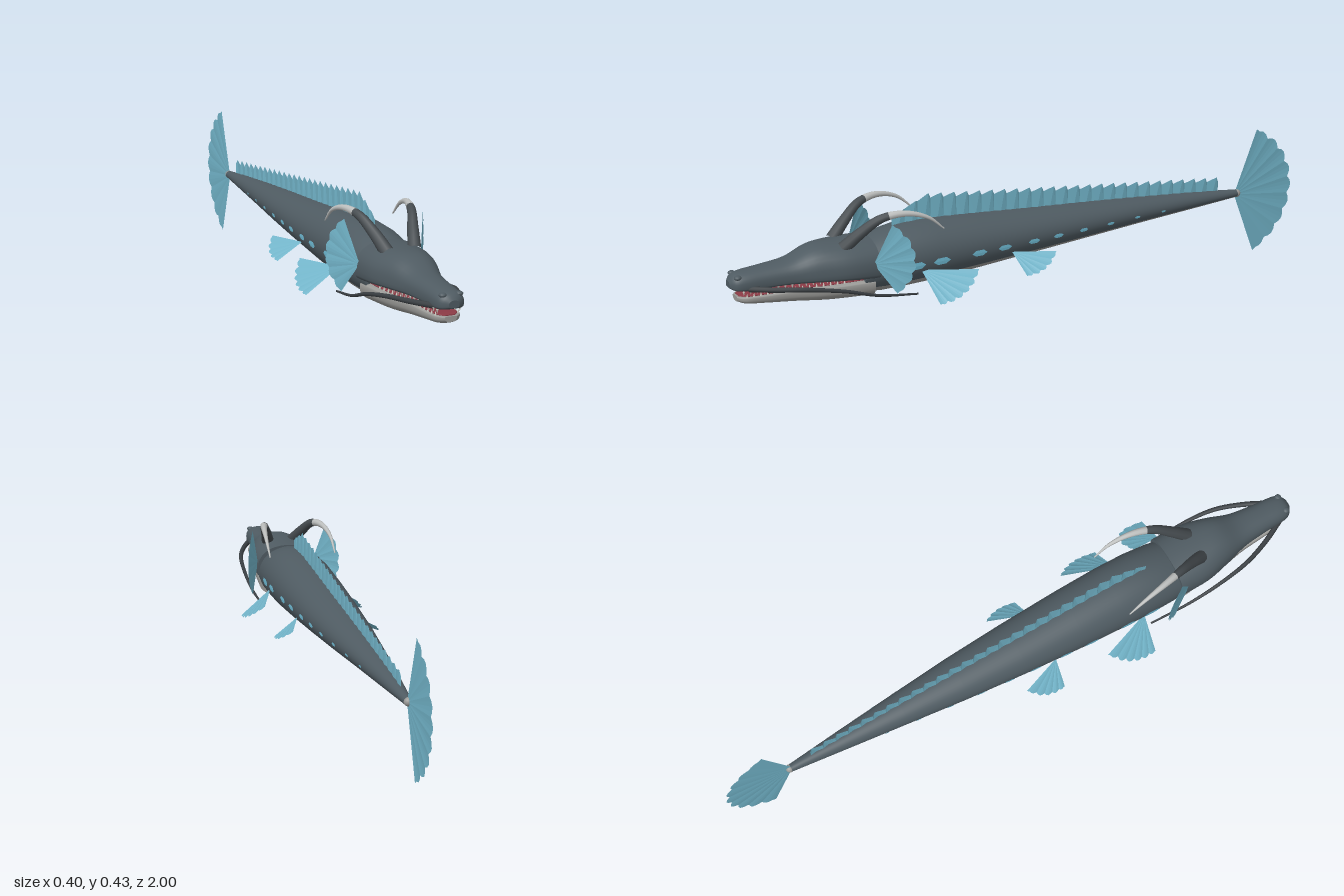
import * as THREE from 'three';

const mat = (name, color, extra = {}) => Object.assign(new THREE.MeshStandardMaterial({ color, ...extra }), { name });
const thin = { side: THREE.DoubleSide, flatShading: true };

// Body profile: z, half width, top, bottom (tail to neck)
const BODY = [
  [-0.785, 0.012, 0.228, 0.204], [-0.6, 0.032, 0.25, 0.195], [-0.4, 0.053, 0.27, 0.186],
  [-0.2, 0.073, 0.288, 0.175], [0, 0.088, 0.304, 0.163], [0.2, 0.099, 0.322, 0.15],
  [0.35, 0.104, 0.334, 0.141], [0.45, 0.104, 0.333, 0.139], [0.53, 0.1, 0.32, 0.14], [0.6, 0.09, 0.295, 0.148],
];
function bodyAt(z) {
  let i = 0;
  while (i < BODY.length - 2 && z > BODY[i + 1][0]) i++;
  const t = (z - BODY[i][0]) / (BODY[i + 1][0] - BODY[i][0]);
  return BODY[i].map((v, k) => THREE.MathUtils.lerp(v, BODY[i + 1][k], t));
}
function bodyPoint(z, angle, lift = 0) {
  const [, w, top, bottom] = bodyAt(z);
  return new THREE.Vector3(Math.cos(angle) * (w + lift),
    (top + bottom) / 2 + Math.sin(angle) * ((top - bottom) / 2 + lift), z);
}

// Closed rings in ascending z joined into a capped skin; pick(j) gives the material index
function loft(rings, pick = () => 0) {
  const n = rings[0].length, pos = [], lists = [[], []];
  rings.forEach(r => r.forEach(p => pos.push(p.x, p.y, p.z)));
  for (let i = 0; i < rings.length - 1; i++) for (let j = 0; j < n; j++) {
    const a = i * n + j, b = i * n + (j + 1) % n;
    lists[pick(j)].push(a, b, a + n, b, b + n, a + n);
  }
  [rings[0], rings[rings.length - 1]].forEach((r, end) => {
    const s = pos.length / 3, c = new THREE.Vector3();
    r.forEach(p => { pos.push(p.x, p.y, p.z); c.addScaledVector(p, 1 / n); });
    pos.push(c.x, c.y, c.z);
    for (let j = 0; j < n; j++) {
      const k = (j + 1) % n;
      lists[0].push(s + n, s + (end ? j : k), s + (end ? k : j));
    }
  });
  const g = new THREE.BufferGeometry();
  g.setAttribute('position', new THREE.Float32BufferAttribute(pos, 3));
  g.setIndex([...lists[0], ...lists[1]]);
  g.addGroup(0, lists[0].length, 0);
  g.addGroup(lists[0].length, lists[1].length, 1);
  g.computeVertexNormals();
  return g;
}

// Rounded section loft; rows are z, half width, top, widest height, bottom
function sectionLoft(rows, topPower, bottomPower, steps = 28) {
  const curves = [1, 2, 3, 4].map(k => new THREE.SplineCurve(rows.map(r => new THREE.Vector2(r[0], r[k]))));
  const rings = [];
  for (let i = 0; i <= steps; i++) {
    const q = curves.map(c => c.getPoint(i / steps)), [w, top, mid, bottom] = q.map(p => p.y), ring = [];
    for (let j = 0; j < 32; j++) {
      const a = j / 32 * Math.PI * 2, c = Math.cos(a), s = Math.sin(a), e = 2 / (s >= 0 ? topPower : bottomPower);
      ring.push(new THREE.Vector3(w * Math.sign(c) * Math.abs(c) ** e,
        mid + (s >= 0 ? top - mid : bottom - mid) * Math.abs(s) ** e, q[0].x));
    }
    rings.push(ring);
  }
  return loft(rings);
}

// Pleated fan with a scalloped rim, swept from direction a to direction b
function fan(hub, a, b, lobes) {
  const A = new THREE.Vector3(...a), B = new THREE.Vector3(...b), H = new THREE.Vector3(...hub);
  const axis = A.clone().cross(B).normalize(), angle = A.angleTo(B), pos = [], n = lobes * 4;
  const rim = i => {
    const t = i / n, lobe = Math.sin((i % 4) / 4 * Math.PI);
    const r = THREE.MathUtils.lerp(A.length(), B.length(), t) * (i === 0 || i === n ? 1 : 0.94 + 0.06 * lobe);
    return A.clone().normalize().applyAxisAngle(axis, angle * t).multiplyScalar(r)
      .addScaledVector(axis, 0.0015 * (lobe - 0.5)).add(H);
  };
  for (let i = 0; i < n; i++) pos.push(...H.toArray(), ...rim(i).toArray(), ...rim(i + 1).toArray());
  return soup(pos);
}
function soup(pos) {
  const g = new THREE.BufferGeometry();
  g.setAttribute('position', new THREE.Float32BufferAttribute(pos, 3));
  g.computeVertexNormals();
  return g;
}

// Tube that narrows from r0 to r1; the second material starts at fraction split
function taperTube(points, r0, r1, split = 1) {
  const curve = new THREE.CatmullRomCurve3(points.map(p => new THREE.Vector3(...p)));
  const n = 28, m = 10, g = new THREE.TubeGeometry(curve, n, 1, m), p = g.attributes.position, v = new THREE.Vector3();
  for (let i = 0; i <= n; i++) {
    const c = curve.getPointAt(i / n), r = THREE.MathUtils.lerp(r0, r1, i / n);
    for (let j = 0; j <= m; j++) {
      v.fromBufferAttribute(p, i * (m + 1) + j).sub(c).multiplyScalar(r).add(c);
      p.setXYZ(i * (m + 1) + j, v.x, v.y, v.z);
    }
  }
  const cut = Math.round(n * split) * m * 6;
  g.addGroup(0, cut, 0);
  g.addGroup(cut, n * m * 6 - cut, 1);
  return g;
}

export function createModel() {
  const model = new THREE.Group();
  model.name = 'seaSerpent';
  const skin = mat('slateSkin', 0x4f5b62), belly = mat('greyBelly', 0x9a9a97), fin = mat('blueFin', 0x72b4c9, thin);
  const spot = mat('paleBlueSpot', 0x72c0da, { side: THREE.DoubleSide }), hornTip = mat('greyHornTip', 0xbcbebd);
  const hornBase = mat('darkHorn', 0x464c50), whisker = mat('darkWhisker', 0x3a3f43);
  const mouth = mat('redMouth', 0x8c3b46), tooth = mat('ivoryTooth', 0xd0cec4);
  const add = (name, geometry, material) => {
    const m = new THREE.Mesh(geometry, material);
    m.name = name;
    model.add(m);
    return m;
  };

  // Long tapering body with a grey underside
  const N = 48, under = j => Math.sin((j + 0.5) / N * Math.PI * 2) < -0.6 ? 1 : 0;
  add('body', loft(BODY.map(r => Array.from({ length: N }, (_, j) => bodyPoint(r[0], j / N * Math.PI * 2))), under), [skin, belly]);
  add('tailKnob', new THREE.SphereGeometry(0.013, 16, 12), belly).position.set(0, 0.216, -0.784);

  // Head with long snout, then lower jaw and mouth lining
  add('head', sectionLoft([
    [0.555, 0.101, 0.317, 0.24, 0.2], [0.65, 0.1, 0.32, 0.243, 0.212], [0.735, 0.08, 0.318, 0.243, 0.218],
    [0.81, 0.058, 0.292, 0.243, 0.221], [0.89, 0.048, 0.284, 0.243, 0.223], [0.955, 0.044, 0.279, 0.243, 0.224],
    [0.985, 0.036, 0.272, 0.243, 0.228], [1, 0.016, 0.256, 0.243, 0.235]], 2.3, 4), skin);
  const jaw = [[0.57, 0.092, 0.205, 0.188, 0.14], [0.7, 0.076, 0.205, 0.19, 0.148], [0.8, 0.055, 0.206, 0.193, 0.16],
    [0.9, 0.045, 0.206, 0.196, 0.173], [0.955, 0.039, 0.207, 0.199, 0.181], [0.98, 0.018, 0.206, 0.201, 0.19]];
  add('lowerJaw', sectionLoft(jaw, 5, 2.4), belly);
  add('mouthFloor', sectionLoft(jaw.map(([z, w, t]) => [z - 0.006, w * 0.84, t + 0.003, t + 0.001, t - 0.002]), 4, 4), mouth);

  // Saw-edged fin along the back
  const strip = [], teeth = 27;
  const edge = i => {
    const t = i / (2 * teeth), z = THREE.MathUtils.lerp(0.47, -0.71, t), base = bodyAt(z)[2] - 0.006;
    const height = THREE.MathUtils.lerp(0.426, 0.282, t) - base - (i % 2 ? 0 : 0.014);
    const rise = Math.min(1, 0.35 + i * 0.13), x = i % 2 ? 0.0015 : -0.0015;
    return [[x, base, z], [x, base + height * rise, z - (i % 2 ? 0.014 : 0)]];
  };
  for (let i = 0; i < 2 * teeth; i++) {
    const [a, b] = edge(i), [c, d] = edge(i + 1);
    strip.push(...a, ...c, ...b, ...b, ...c, ...d);
  }
  add('backFin', soup(strip), fin);
  add('tailFin', fan([0, 0.2125, -0.774], [0, 0.2125, -0.082], [0, -0.2125, -0.082], 9), fin);

  for (const s of [1, -1]) {
    const side = s > 0 ? 'left' : 'right', flip = ([x, y, z]) => [s * x, y, z];
    const sideFan = (name, hub, a, b, k) => add(side + name, fan(flip(hub), flip(a), flip(b), k), fin);

    // Cheek fan and two pairs of swimming fins
    sideFan('CheekFan', [0.096, 0.258, 0.577], [0.028, 0.125, -0.05], [0.032, -0.094, -0.06], 6);
    sideFan('FrontFin', [0.092, 0.21, 0.42], [0.06, -0.01, -0.165], [0.102, -0.08, -0.012], 6);
    sideFan('RearFin', [0.084, 0.205, 0.105], [0.048, -0.006, -0.13], [0.078, -0.055, -0.01], 5);

    // Swept-back horn with a grey tip, and a trailing whisker
    add(side + 'Horn', taperTube([[0.042, 0.305, 0.65], [0.06, 0.35, 0.6], [0.082, 0.392, 0.54],
      [0.099, 0.4, 0.47], [0.108, 0.378, 0.4], [0.109, 0.335, 0.35]].map(flip), 0.021, 0.002, 0.45), [hornBase, hornTip]);
    add(side + 'Whisker', taperTube([[0.036, 0.232, 0.95], [0.072, 0.228, 0.88], [0.104, 0.222, 0.79],
      [0.118, 0.2, 0.68], [0.117, 0.165, 0.57], [0.109, 0.142, 0.44]].map(flip), 0.009, 0.003), whisker);

    // Nostril
    const nostril = add(side + 'Nostril', new THREE.SphereGeometry(0.011, 14, 10), skin);
    nostril.scale.y = 0.65;
    nostril.position.set(s * 0.025, 0.268, 0.978);

    // Teeth on both jaws
    for (let i = 0; i < 15; i++) {
      const z = 0.965 - i * 0.021, t = (0.965 - z) / 0.3;
      const w = 0.034 + 0.016 * t + 0.02 * t * t;
      for (const up of [1, -1]) {
        const c = add(side + (up > 0 ? 'LowerTooth' : 'UpperTooth'), new THREE.ConeGeometry(0.0035, 0.013, 6), tooth);
        c.position.set(s * w, up > 0 ? 0.212 : 0.219 - 0.003 * t, z - (up > 0 ? 0.01 : 0));
        if (up < 0) c.rotation.x = Math.PI;
      }
    }

    // Row of six-sided flank spots shrinking toward the tail
    [0.44, 0.355, 0.225, 0.135, 0.03, -0.06, -0.155, -0.26, -0.365, -0.47].forEach((z, i) => {
      const half = 0.031 - i * 0.0024, high = 0.13 - i * 0.004, pos = [];
      const corner = k => {
        const a = k * Math.PI / 3, p = bodyPoint(z + Math.cos(a) * half, -0.08 + Math.sin(a) * high, 0.002);
        return [s * p.x, p.y, p.z];
      };
      const mid = bodyPoint(z, -0.08, 0.002);
      for (let k = 0; k < 6; k++) pos.push(s * mid.x, mid.y, mid.z, ...corner(s > 0 ? k + 1 : k), ...corner(s > 0 ? k : k + 1));
      add(side + 'Spot', soup(pos), spot);
    });
  }
  return model;
}
